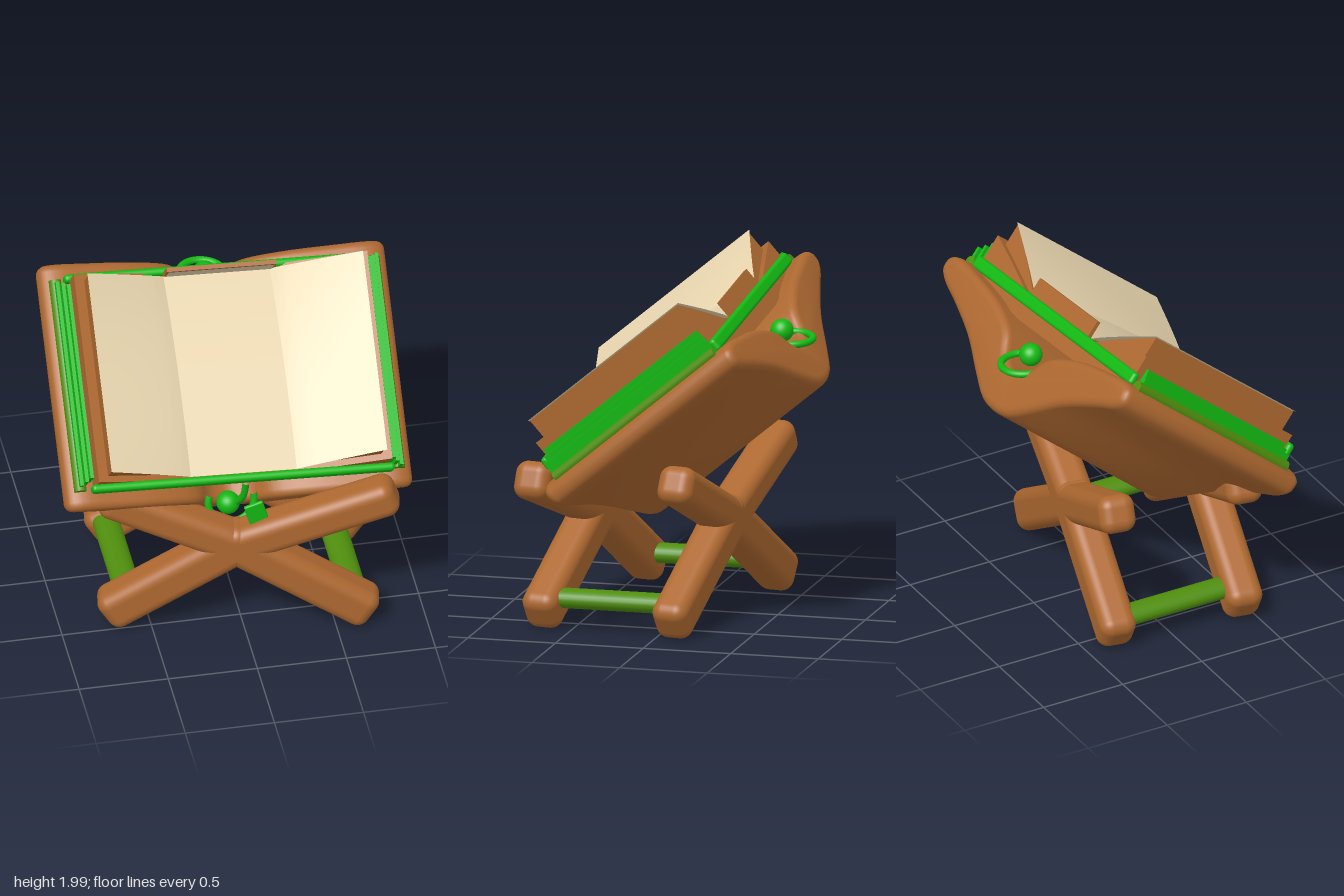
import * as THREE from 'three';
import { toCreasedNormals } from 'three/addons/utils/BufferGeometryUtils.js';
import { RoundedBoxGeometry } from 'three/addons/geometries/RoundedBoxGeometry.js';

const deg = Math.PI / 180;
const material = (name, color, side = THREE.FrontSide) => {
  const m = new THREE.MeshStandardMaterial({ color, side });
  m.name = name;
  return m;
};

export function createModel() {
  const brown = material('brown leather', 0xad6830);
  const green = material('bright green', 0x13b913);
  const olive = material('olive green', 0x4f8e0d);
  const cream = material('cream paper', 0xebd8b1, THREE.DoubleSide);

  const model = new THREE.Group();
  model.name = 'bookOnStand';

  const add = (parent, name, geometry, mat, x = 0, y = 0, z = 0) => {
    const mesh = new THREE.Mesh(geometry, mat);
    mesh.name = name;
    mesh.position.set(x, y, z);
    parent.add(mesh);
    return mesh;
  };

  // Extrude a cross-section (x across, y towards the reader) along the slope
  const extrudeAlongSlope = (points, length, bevel) => {
    const g = new THREE.ExtrudeGeometry(new THREE.Shape(points), {
      depth: length - 2 * bevel, steps: 1, bevelEnabled: bevel > 0,
      bevelSize: bevel, bevelThickness: bevel, bevelOffset: -bevel, bevelSegments: 4,
    });
    g.rotateX(Math.PI / 2);
    g.translate(0, length / 2 - bevel, 0);
    return toCreasedNormals(g, 40 * deg);
  };

  // ---- Stand: two crossed frames, each turned a little, joined by rods ----
  const stand = new THREE.Group();
  stand.name = 'stand';
  model.add(stand);

  const hubY = 0.545;
  for (const [frameName, x, z, rightArm] of [
    ['frontFrame', -0.03, 0.545, 0.88], ['backFrame', 0.04, -0.215, 0.7],
  ]) {
    const frame = new THREE.Group();
    frame.name = frameName;
    frame.position.set(x, hubY, z);
    frame.rotation.y = -10 * deg;
    stand.add(frame);
    for (const [name, ex, dy, width] of [
      ['lowerLeg', -0.73, -0.475, 0.235], ['lowerLeg', 0.75, -0.475, 0.235],
      ['upperArm', -0.74, 0.335, 0.215], ['upperArm', rightArm, 0.335, 0.215],
    ]) {
      const length = Math.hypot(ex, dy);
      const overlap = 0.1;
      const g = new RoundedBoxGeometry(length + overlap, width, 0.21, 5, 0.07);
      g.translate((length - overlap) / 2, 0, 0);
      add(frame, name, g, brown).rotation.z = Math.atan2(dy, ex);
    }
  }
  for (const side of [1, -1]) {
    const rod = new THREE.CylinderGeometry(0.056, 0.056, 0.68, 24);
    rod.rotateX(Math.PI / 2);
    rod.scale(1.35, 1, 1);
    add(stand, 'crossRod', rod, olive, side * 0.61, 0.165, 0.165 + side * 0.11);
  }

  // ---- Tilted cradle and book: x across, y up the slope, z out of the page ----
  const tilted = new THREE.Group();
  tilted.name = 'cradleAndBook';
  tilted.position.set(0, 1.33, 0.07);
  tilted.rotation.set(-50 * deg, 4 * deg, -1.5 * deg);
  model.add(tilted);

  // Winged cradle with a deep rounded spine and a notch in the middle
  const half = [
    [0.11, -0.25], [0.21, -0.13], [0.42, -0.04], [0.7, 0.01], [0.9, 0.03],
    [0.97, 0.0], [0.98, -0.07], [0.93, -0.12], [0.75, -0.19], [0.5, -0.3],
    [0.28, -0.44], [0.13, -0.525],
  ];
  const outline = [
    [0, -0.29], ...half, [0, -0.545],
    ...half.map(([x, n]) => [-x, n]).reverse(),
  ].map(([x, n]) => new THREE.Vector3(x, n, 0));
  const outlinePoints = new THREE.CatmullRomCurve3(outline, true).getPoints(100)
    .slice(0, -1).map((p) => new THREE.Vector2(p.x, p.y));
  const cradle = extrudeAlongSlope(outlinePoints.reverse(), 1.4, 0.045);

  // The ends slant inwards towards the spine
  const cp = cradle.attributes.position;
  for (let i = 0; i < cp.count; i++) {
    const depth = Math.max(0, -cp.getZ(i));
    const y = cp.getY(i);
    cp.setY(i, y + depth * (y < 0 ? 0.16 : -0.06));
  }
  add(tilted, 'cradle', toCreasedNormals(cradle, 40 * deg), brown);

  // Height of an open book: flat middle panel, wings rising outwards
  const pageHeight = (x, middle, edge, halfWidth) => {
    const t = Math.max(0, (Math.abs(x) - 0.3) / (halfWidth - 0.3));
    return middle + (edge - middle) * Math.pow(t, 0.9);
  };
  const edgeHeight = (x) => (x > 0 ? 0.365 : 0.32);
  const bookLayer = (name, halfWidth, length, middle, drop) => {
    const points = [
      new THREE.Vector2(-halfWidth, 0.0), new THREE.Vector2(-0.3, -0.06),
      new THREE.Vector2(0.3, -0.06), new THREE.Vector2(halfWidth, 0.0),
    ];
    for (let i = 0; i <= 24; i++) {
      const x = halfWidth * (1 - i / 12);
      points.push(new THREE.Vector2(x, pageHeight(x, middle, edgeHeight(x) - drop, halfWidth)));
    }
    add(tilted, name, extrudeAlongSlope(points, length, 0), brown);
  };
  bookLayer('bookCover', 0.825, 1.18, 0.06, 0.12);
  bookLayer('pageBlock', 0.768, 1.11, 0.065, 0.008);

  // Three page panels; the middle one bows along its length
  for (const [name, x0, x1] of [
    ['leftPage', 0.3, 0.775], ['middlePage', -0.3, 0.3], ['rightPage', -0.775, -0.3],
  ]) {
    const g = new THREE.PlaneGeometry(x1 - x0, 1.13, 12, 12);
    g.translate((x0 + x1) / 2, 0, 0);
    const p = g.attributes.position;
    for (let i = 0; i < p.count; i++) {
      const x = p.getX(i);
      const v = p.getY(i) / 0.565;
      const inner = 1 - Math.max(0, (Math.abs(x) - 0.3) / 0.475);
      p.setZ(i, pageHeight(x, 0.125, edgeHeight(x), 0.775)
        + inner * (0.04 * (1 - v * v) - 0.035 * v));
      p.setY(i, p.getY(i) - inner * (v < 0 ? 0.025 : 0.0));
    }
    g.computeVertexNormals();
    add(tilted, name, g, cream);
  }

  // Upturned end of the middle page, backed by the cover
  const lip = new THREE.PlaneGeometry(0.6, 0.11);
  lip.rotateX(Math.PI / 2);
  add(tilted, 'pageLip', lip, cream, 0.01, 0.562, 0.135);
  add(tilted, 'lipBacking', new THREE.BoxGeometry(0.62, 0.024, 0.17), brown, 0.01, 0.577, 0.11);

  // Green frame: end bars, stacked side boards and rolled edges
  for (const s of [1, -1]) {
    add(tilted, 'endBar', new RoundedBoxGeometry(1.71, 0.045, 0.075, 3, 0.02), green,
      0, s > 0 ? 0.597 : -0.61, s > 0 ? 0.06 : 0.12);
    const [thickness, span] = s > 0 ? [1, 1.14] : [0.72, 1.1];
    [[0.848, 0.17, 0], [0.873, 0.14, 0.03], [0.9, 0.11, 0.06]].forEach(([x, h, extra]) => {
      add(tilted, 'sideBoard', new THREE.BoxGeometry(0.02, span + extra, h * thickness), green,
        s * x, 0, h * thickness / 2 + 0.02);
    });
    add(tilted, 'rolledEdge', new THREE.CylinderGeometry(0.035, 0.035, 1.2, 16), olive, s * 0.9, 0, 0.035);

    // Ball and half-ring clasp at each end of the spine
    add(tilted, 'claspBall', new THREE.SphereGeometry(0.065, 24, 16), green,
      s > 0 ? -0.01 : -0.04, s > 0 ? 0.63 : -0.68, s > 0 ? -0.17 : -0.15);
    const ring = new THREE.TorusGeometry(0.13, 0.02, 10, 32, Math.PI * 1.2);
    ring.rotateZ(-0.1 * Math.PI);
    ring.rotateX((s > 0 ? -40 : -140) * deg);
    add(tilted, 'claspRing', ring, green, -0.01, s > 0 ? 0.635 : -0.66, s > 0 ? -0.23 : -0.2);
  }

  // Ribbon running from the front bar to the clasp, with a loose tail
  const ribbonPath = new THREE.CatmullRomCurve3([
    new THREE.Vector3(0.02, -0.63, 0.1), new THREE.Vector3(0.02, -0.68, -0.02),
    new THREE.Vector3(-0.01, -0.69, -0.15),
  ]);
  add(tilted, 'ribbon', new THREE.TubeGeometry(ribbonPath, 12, 0.02, 8), green);
  const tail = add(tilted, 'ribbonTail', new RoundedBoxGeometry(0.11, 0.025, 0.13, 2, 0.01), green, 0.1, -0.76, -0.1);
  tail.rotation.set(-40 * deg, -20 * deg, 0);

  return model;
}
